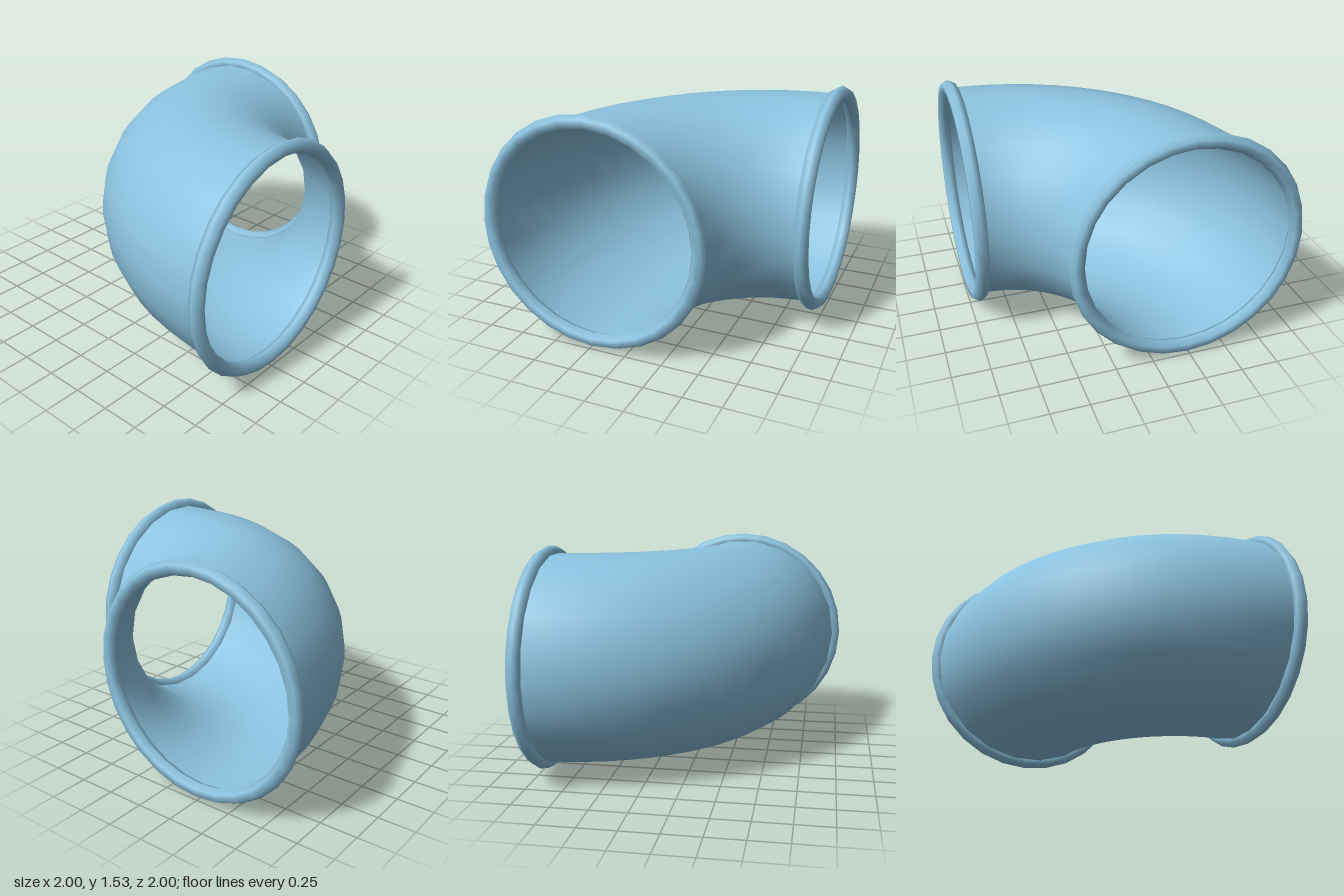
import * as THREE from 'three';

export function createModel() {
  const group = new THREE.Group();
  const pipeBlue = new THREE.MeshStandardMaterial({ color: 0x8cc3e0, side: THREE.DoubleSide });
  pipeBlue.name = 'pipeBlue';

  const centreY = 0.767;  // height of the pipe axis
  const end = 0.957;      // distance of both open ends from the middle
  const offset = 0.235;   // sideways shift of each opening
  const bendRadius = end + offset;

  // Hollow quarter bend, open at both ends
  const bendGeometry = new THREE.TorusGeometry(bendRadius, 0.715, 22, 16, Math.PI / 2);
  bendGeometry.rotateX(Math.PI / 2).rotateY(-Math.PI / 2);
  const bend = new THREE.Mesh(bendGeometry, pipeBlue);
  bend.name = 'pipeBend';
  bend.position.set(end, centreY, -end);
  group.add(bend);

  // Rounded rim around each opening
  const rimGeometry = new THREE.TorusGeometry(0.719, 0.048, 6, 28);
  const addRim = (name, x, z, turn) => {
    const rim = new THREE.Mesh(rimGeometry, pipeBlue);
    rim.name = name;
    rim.position.set(x, centreY, z);
    rim.rotation.y = turn;
    group.add(rim);
  };
  addRim('leftRim', end, offset, Math.PI / 2);
  addRim('backRim', -offset, -end, 0);

  return group;
}
